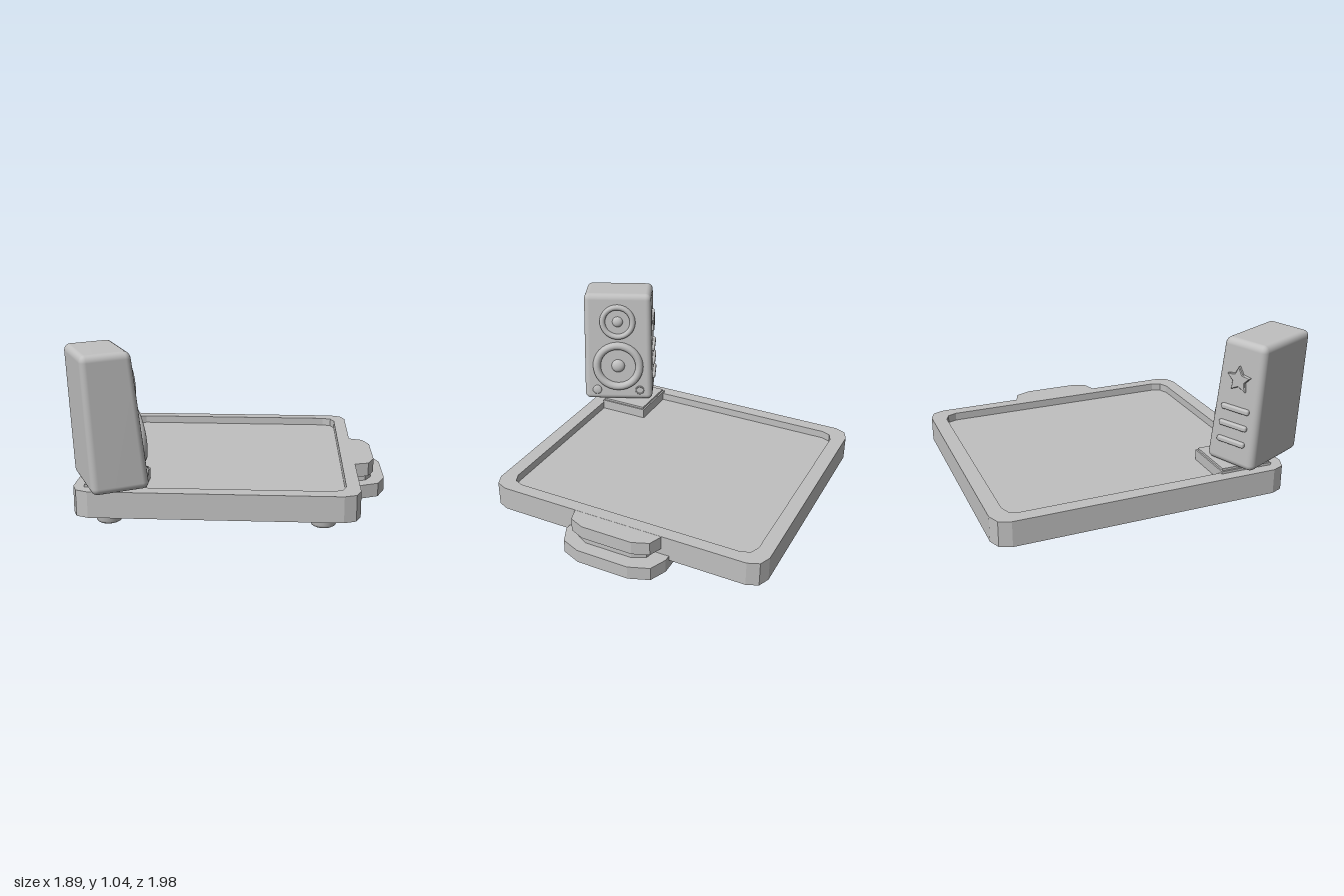
import * as THREE from 'three';
import { mergeVertices } from 'three/addons/utils/BufferGeometryUtils.js';
import { RoundedBoxGeometry } from 'three/addons/geometries/RoundedBoxGeometry.js';

const grey = new THREE.MeshStandardMaterial({ color: 0xc0c0c0 });
grey.name = 'plain grey';

function add(parent, name, geometry, x = 0, y = 0, z = 0) {
  const mesh = new THREE.Mesh(geometry, grey);
  mesh.name = name;
  mesh.position.set(x, y, z);
  parent.add(mesh);
  return mesh;
}

// Rectangle in x/z with corners rounded in two facets
function roundedRect(x0, x1, z0, z1, r) {
  const pts = [];
  const centres = [[x1 - r, z1 - r], [x0 + r, z1 - r], [x0 + r, z0 + r], [x1 - r, z0 + r]];
  centres.forEach(([cx, cz], q) => {
    for (let i = 0; i <= 2; i++) {
      const a = (q + i / 2) * Math.PI / 2;
      pts.push([cx + r * Math.cos(a), cz + r * Math.sin(a)]);
    }
  });
  return pts;
}

// Flat slab from an x/z outline, between two heights
function slab(outline, y0, y1, hole) {
  const toVec = ([x, z]) => new THREE.Vector2(x, z);
  const shape = new THREE.Shape(outline.map(toVec));
  if (hole) shape.holes.push(new THREE.Path(hole.map(toVec)));
  return new THREE.ExtrudeGeometry(shape, { depth: y1 - y0, bevelEnabled: false })
    .rotateX(Math.PI / 2).translate(0, y1, 0);
}

const lathe = (pts, n = 32) =>
  new THREE.LatheGeometry(pts.map(([r, y]) => new THREE.Vector2(r, y)), n);

function makeSpeaker() {
  const speaker = new THREE.Group();
  speaker.name = 'speaker';
  const bottom = 0.257, h = 0.78;
  const lean = Math.atan(0.115);
  const frontAt = (y) => 0.165 - 0.115 * (y - bottom);
  const centreAt = (y) => -0.064 * (y - bottom) / h;

  // Cabinet, narrowing and leaning back toward the top
  let body = new RoundedBoxGeometry(0.33, h, 0.49, 4, 0.04);
  const p = body.attributes.position;
  for (let i = 0; i < p.count; i++) {
    const x = p.getX(i), y = p.getY(i), f = y / h + 0.5;
    p.setXYZ(i, x * (1 - 0.15 * f) - 0.064 * f, y + h / 2 + bottom + 0.03 * x, p.getZ(i) * (1 - 0.04 * f));
  }
  body.deleteAttribute('normal');
  body.deleteAttribute('uv');
  body = mergeVertices(body);
  body.computeVertexNormals();
  add(speaker, 'cabinet', body);

  // Parts on the front face, with their local y pointing outward
  function onFront(name, y, z) {
    const g = new THREE.Group();
    g.name = name;
    g.position.set(frontAt(y), y, z);
    g.rotation.z = lean - Math.PI / 2;
    speaker.add(g);
    return g;
  }
  function driver(name, y, ringR, tube, domeR) {
    const g = onFront(name, y, 0);
    add(g, 'ring', new THREE.TorusGeometry(ringR, tube, 12, 36).rotateX(Math.PI / 2), 0, 0.01, 0);
    add(g, 'cone', lathe([[ringR, 0.016], [ringR * 0.8, 0.014], [domeR, 0.003], [0, 0.003]].reverse(), 36));
    add(g, 'dome', new THREE.SphereGeometry(domeR, 20, 8, 0, Math.PI * 2, 0, Math.PI / 2).scale(1, 0.65, 1));
  }
  driver('woofer', 0.522, 0.153, 0.028, 0.048);
  driver('tweeter', 0.848, 0.107, 0.02, 0.038);

  // Knob and port in the lower corners
  add(onFront('knob', 0.34, 0.154), 'knobCap', lathe([[0.032, -0.005], [0.032, 0.01], [0.024, 0.018], [0, 0.018]], 20));
  const port = onFront('port', 0.338, -0.154);
  add(port, 'portRim', new THREE.TorusGeometry(0.028, 0.005, 8, 20).rotateX(Math.PI / 2));

  // Raised star and bars on the side
  const sideAt = (y) => -0.245 * (1 - 0.04 * (y - bottom) / h);
  const star = new THREE.Shape();
  for (let i = 0; i < 10; i++) {
    const r = i % 2 ? 0.038 : 0.075, a = Math.PI / 2 + i * Math.PI / 5;
    star[i ? 'lineTo' : 'moveTo'](r * Math.cos(a), r * Math.sin(a));
  }
  star.closePath();
  const starGeo = new THREE.ExtrudeGeometry(star, {
    depth: 0.02, bevelSize: 0.005, bevelThickness: 0.005, bevelSegments: 1
  });
  add(speaker, 'star', starGeo, centreAt(0.81), 0.81, sideAt(0.81) - 0.012);
  for (const y of [0.625, 0.52, 0.415]) {
    add(speaker, 'sideBar', new RoundedBoxGeometry(0.19, 0.034, 0.04, 2, 0.012), centreAt(y), y, sideAt(y));
  }

  speaker.position.set(-0.667, 0, 0.694);
  speaker.rotation.y = THREE.MathUtils.degToRad(24.5);
  return speaker;
}

export function createModel() {
  const model = new THREE.Group();
  model.name = 'trayWithSpeaker';

  // Tray with a shallow recess
  const outer = roundedRect(-0.885, 0.76, -1, 0.825, 0.1);
  const inner = roundedRect(-0.8, 0.68, -0.91, 0.735, 0.08);
  add(model, 'trayFloor', slab(outer, 0.075, 0.18));
  add(model, 'trayRim', slab(outer, 0.18, 0.23, inner));

  // Layered tab on the side
  const upper = [[0.72, -0.37], [0.765, -0.37], [0.845, -0.34], [0.885, -0.24],
    [0.885, 0.09], [0.845, 0.185], [0.765, 0.21], [0.72, 0.21]];
  const middle = [[0.72, -0.335], [0.83, -0.31], [0.87, -0.23], [0.87, 0.08], [0.83, 0.15], [0.72, 0.17]];
  const lower = [[0.695, -0.42], [0.8, -0.42], [0.907, -0.375], [0.955, -0.25],
    [0.955, 0.085], [0.907, 0.205], [0.8, 0.255], [0.695, 0.255]];
  add(model, 'upperTab', slab(upper, 0.145, 0.229));
  add(model, 'tabSpacer', slab(middle, 0.1, 0.15));
  add(model, 'lowerTab', slab(lower, 0.02, 0.105));

  // Feet
  const foot = [[0, 0], [0.058, 0], [0.07, 0.007], [0.076, 0.02], [0.085, 0.078]];
  for (const x of [-0.695, 0.552]) {
    for (const z of [0.658, -0.842]) add(model, 'foot', lathe(foot, 20), x, 0, z);
  }

  // Stand plate under the speaker
  add(model, 'standPlate', new THREE.BoxGeometry(0.33, 0.07, 0.335), -0.653, 0.21, 0.573);
  add(model, 'standTop', new THREE.BoxGeometry(0.31, 0.03, 0.315), -0.653, 0.244, 0.573);

  model.add(makeSpeaker());
  return model;
}
